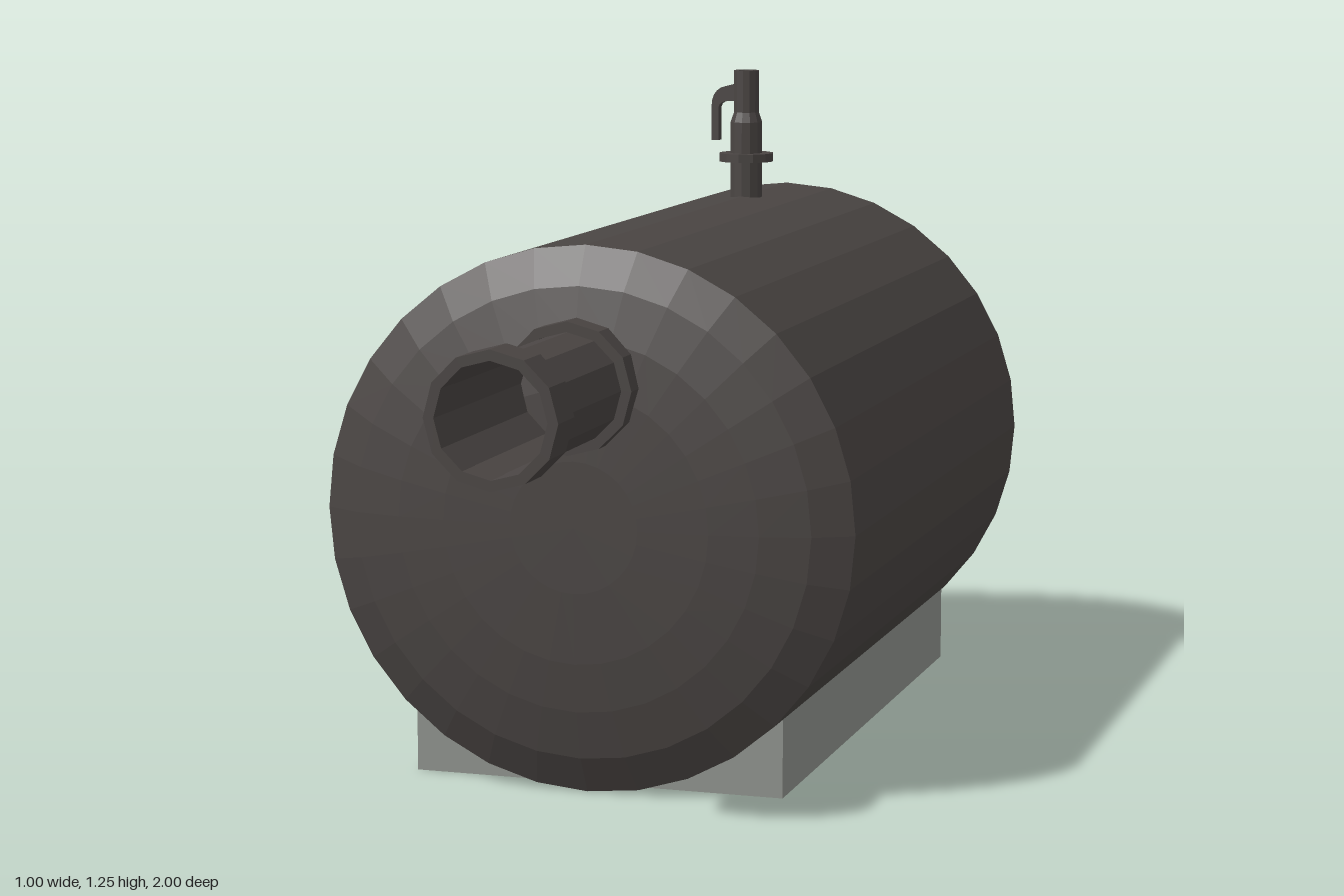
import * as THREE from 'three';

export function createModel() {
  const root = new THREE.Group();
  root.name = 'boilerTank';

  const mat = (name, color, extra = {}) => {
    const m = new THREE.MeshStandardMaterial({ color, ...extra });
    m.name = name;
    return m;
  };
  const iron = mat('darkIron', 0x4a4543, { flatShading: true, side: THREE.DoubleSide });
  const grey = mat('baseGrey', 0x8f938d, { side: THREE.DoubleSide });
  const white = mat('dialWhite', 0xd4d6d2);
  const black = mat('needleBlack', 0x262423);

  const add = (name, geo, material, x = 0, y = 0, z = 0, parent = root) => {
    const mesh = new THREE.Mesh(geo, material);
    mesh.name = name;
    mesh.position.set(x, y, z);
    parent.add(mesh);
    return mesh;
  };
  // Turned profile of [radius, height] pairs
  const lathe = (pts, n) =>
    new THREE.LatheGeometry(pts.map(([r, h]) => new THREE.Vector2(r, h)), n);
  const toFront = g => g.rotateX(Math.PI / 2);
  const toBack = g => g.rotateX(-Math.PI / 2);

  // Tank: long drum with a shallow front dome and a deeper back dome
  add('tank', toFront(lathe([
    [0, -0.932], [0.1, -0.93], [0.22, -0.922], [0.35, -0.903], [0.46, -0.862], [0.5, -0.82],
    [0.5, 0.507], [0.43, 0.545], [0.34, 0.565], [0.25, 0.575], [0.12, 0.58], [0, 0.58],
  ], 32)), iron, 0, 0.5, 0);

  // Outlet pipe: hollow, with a collar at each end
  const pipe = new THREE.Group();
  pipe.name = 'outletPipe';
  pipe.position.y = 0.755;
  root.add(pipe);
  add('pipeTube', toFront(lathe([[0.1, 0.56], [0.1, 0.94]], 12)), iron, 0, 0, 0, pipe);
  for (const [name, a, b] of [['pipeInnerCollar', 0.55, 0.612], ['pipeEndCollar', 0.918, 1]]) {
    add(name, toFront(lathe([[0.1, a], [0.12, a], [0.12, b], [0.101, b], [0.101, a]], 12)),
      iron, 0, 0, 0, pipe);
  }

  // Base: four upright walls, open underneath
  const base = new THREE.Group();
  base.name = 'base';
  root.add(base);
  const hw = 0.353, h = 0.147, front = 0.45, back = -0.79;
  for (const s of [1, -1]) {
    add('baseSide', new THREE.PlaneGeometry(front - back, h).rotateY(s * Math.PI / 2), grey,
      s * hw, h / 2, (front + back) / 2, base);
    add('baseEnd', new THREE.PlaneGeometry(hw * 2, h).rotateY(s > 0 ? 0 : Math.PI), grey,
      0, h / 2, s > 0 ? front : back, base);
  }

  // Safety valve with a flange, open top and hanging lever
  const valve = new THREE.Group();
  valve.name = 'safetyValve';
  valve.position.set(0, 0, -0.51);
  root.add(valve);
  add('valveBody', lathe([
    [0.033, 0.98], [0.033, 1.07], [0.056, 1.07], [0.056, 1.087], [0.033, 1.087],
    [0.033, 1.15], [0.026, 1.17], [0.026, 1.255], [0.016, 1.255], [0.016, 1.22], [0, 1.22],
  ], 12), iron, 0, 0, 0, valve);
  const lever = new THREE.Shape();
  lever.moveTo(-0.02, 1.228);
  lever.lineTo(-0.05, 1.22);
  lever.quadraticCurveTo(-0.071, 1.21, -0.071, 1.18);
  lever.lineTo(-0.071, 1.112);
  lever.lineTo(-0.056, 1.112);
  lever.lineTo(-0.056, 1.18);
  lever.quadraticCurveTo(-0.054, 1.195, -0.02, 1.192);
  add('valveLever', new THREE.ExtrudeGeometry(lever,
    { depth: 0.022, bevelEnabled: false, curveSegments: 4 }), iron, 0, 0, -0.011, valve);

  // Fire door: raised rim, recessed panel and a bar handle
  const door = new THREE.Group();
  door.name = 'fireDoor';
  door.position.y = 0.283;
  root.add(door);
  add('doorRim', toBack(lathe([
    [0.152, 0.89], [0.152, 0.975], [0.125, 0.975], [0.12, 0.962], [0.112, 0.97], [0, 0.97],
  ], 24)), iron, 0, 0, 0, door);
  add('doorHandle', new THREE.BoxGeometry(0.13, 0.012, 0.013), grey, 0, 0.092, -0.9935, door);
  for (const s of [1, -1]) {
    add('handlePost', new THREE.BoxGeometry(0.01, 0.01, 0.03), iron, s * 0.05, 0.092, -0.975, door);
  }

  // Pressure gauge: bezel, dial, needle and lower dark plate
  const gauge = new THREE.Group();
  gauge.name = 'pressureGauge';
  gauge.position.set(0, 0.603, 0);
  root.add(gauge);
  add('gaugeBezel', toBack(lathe([
    [0.083, 0.88], [0.083, 0.94], [0.066, 0.94], [0.064, 0.934], [0, 0.934],
  ], 20)), iron, 0, 0, 0, gauge);
  const face = (name, geo, material, z) =>
    add(name, geo.rotateY(Math.PI), material, 0, 0, z, gauge);
  face('dialFace', new THREE.CircleGeometry(0.065, 20), white, -0.936);
  const plate = new THREE.Shape();
  plate.absarc(0, 0, 0.064, Math.PI * 1.22, Math.PI * 1.78, false);
  plate.lineTo(0.018, -0.014);
  plate.lineTo(-0.018, -0.014);
  face('dialPlate', new THREE.ShapeGeometry(plate, 8), iron, -0.9375);
  const needle = new THREE.Shape([[-0.008, -0.012], [0.008, -0.012], [0.002, 0.052], [-0.002, 0.052]]
    .map(([x, y]) => new THREE.Vector2(x, y)));
  face('needle', new THREE.ShapeGeometry(needle), black, -0.939);
  face('needleHub', new THREE.CircleGeometry(0.014, 12), black, -0.9395);

  return root;
}
